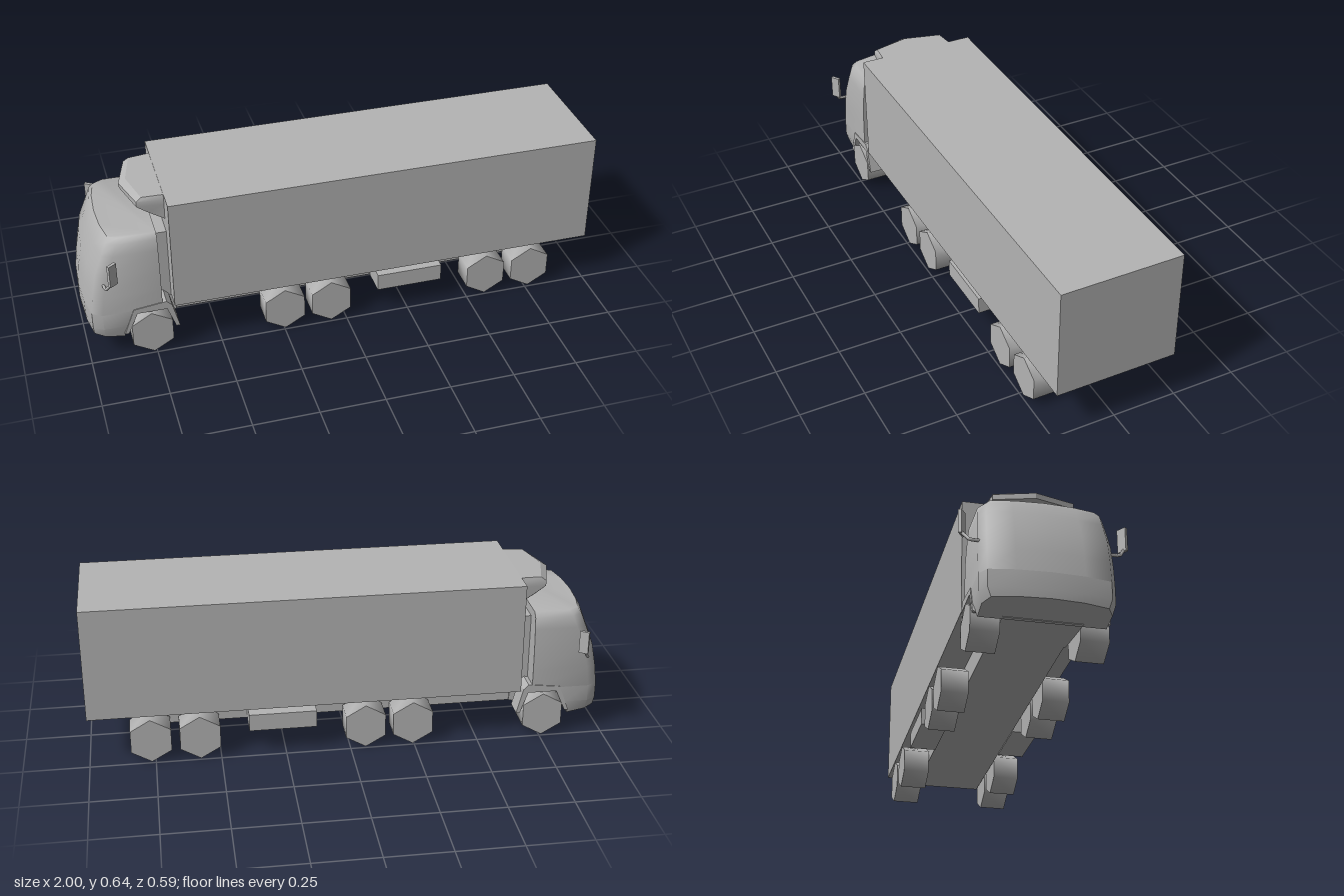
import * as THREE from 'three';
import { toCreasedNormals } from 'three/addons/utils/BufferGeometryUtils.js';

const grey = new THREE.MeshStandardMaterial({ color: 0xb4b4b4 });
grey.name = 'plain grey';

function add(parent, name, geometry) {
  const mesh = new THREE.Mesh(geometry, grey);
  mesh.name = name;
  parent.add(mesh);
  return mesh;
}

// Box given by its limits on each axis
function block(parent, name, x0, x1, y0, y1, z0, z1) {
  const mesh = add(parent, name, new THREE.BoxGeometry(x1 - x0, y1 - y0, z1 - z0));
  mesh.position.set((x0 + x1) / 2, (y0 + y1) / 2, (z0 + z1) / 2);
  return mesh;
}

// Side profile (x, y) extruded from z0 to z1
function prism(parent, name, points, z0, z1) {
  const shape = new THREE.Shape(points.map(([x, y]) => new THREE.Vector2(x, y)));
  const geometry = new THREE.ExtrudeGeometry(shape, { depth: z1 - z0, bevelEnabled: false });
  geometry.translate(0, 0, z0);
  return add(parent, name, geometry);
}

// Skin over stacked rings of [x, y, z], each counter-clockwise from above
function loft(rings, crease) {
  const n = rings[0].length;
  const index = [];
  for (let r = 0; r < rings.length - 1; r++) {
    for (let i = 0; i < n; i++) {
      const a = r * n + i, b = r * n + (i + 1) % n;
      index.push(a, b, b + n, a, b + n, a + n);
    }
  }
  const top = (rings.length - 1) * n;
  for (let i = 1; i < n - 1; i++) {
    index.push(top, top + i, top + i + 1, 0, i + 1, i);
  }
  const geometry = new THREE.BufferGeometry();
  geometry.setAttribute('position', new THREE.Float32BufferAttribute(rings.flat(2), 3));
  geometry.setIndex(index);
  return toCreasedNormals(geometry, crease);
}

// Cab section: straight back, bowed nose with rounded corners
function cabRing({ y, front, back, w, slope = 0 }) {
  const half = [[0.06, w], [0.022, w * 0.9], [0.006, w * 0.5]];
  const outline = [
    [back, w], [back, -w],
    ...half.map(([dx, z]) => [front + dx, -z]),
    [front, 0],
    ...half.slice().reverse().map(([dx, z]) => [front + dx, z]),
  ];
  return outline.map(([x, z]) => [x, y + slope * (x + 1), z]);
}

export function createModel() {
  const truck = new THREE.Group();
  truck.name = 'truck';

  // Cargo box and chassis
  block(truck, 'cargoBox', -0.67, 1, 0.193, 0.638, -0.237, 0.237);
  block(truck, 'chassis', -0.66, 0.83, 0.105, 0.194, -0.133, 0.133);
  prism(truck, 'cabUnderbody',
    [[-0.88, 0.08], [-0.65, 0.105], [-0.65, 0.195], [-0.88, 0.2]], -0.139, 0.139);

  // Cab body, with the roof edge rounded over
  add(truck, 'cab', loft([
    { y: 0.2, front: -1, back: -0.715, w: 0.235 },
    { y: 0.28, front: -0.99, back: -0.715, w: 0.235 },
    { y: 0.37, front: -0.973, back: -0.715, w: 0.233 },
    { y: 0.45, front: -0.942, back: -0.715, w: 0.227 },
    { y: 0.497, front: -0.924, back: -0.715, w: 0.222 },
    { y: 0.516, front: -0.912, back: -0.715, w: 0.205 },
  ].map(cabRing), 0.9));

  // Bumper, cut short ahead of the front wheel
  add(truck, 'bumper', loft([
    { y: 0.104, front: -0.997, back: -0.865, w: 0.222, slope: -0.18 },
    { y: 0.135, front: -1, back: -0.85, w: 0.235 },
    { y: 0.2, front: -1, back: -0.825, w: 0.235 },
  ].map(cabRing), 0.6));

  // Link between cab and cargo box
  block(truck, 'cabRearPanel', -0.716, -0.669, 0.19, 0.48, -0.16, 0.16);

  // Pointed cooling unit above the cab
  const coolerRing = (y, nose, shoulder, w, rise = 0) => [
    [-0.669, y - rise, w], [-0.669, y - rise, -w], [shoulder, y, -w * 0.95],
    [nose, y, 0], [shoulder, y, w * 0.95],
  ];
  add(truck, 'coolingUnit', loft([
    coolerRing(0.565, -0.765, -0.73, 0.15, 0.035),
    coolerRing(0.597, -0.81, -0.77, 0.155),
    coolerRing(0.618, -0.812, -0.77, 0.155),
    coolerRing(0.633, -0.785, -0.75, 0.15, -0.003),
  ], 0.4));

  // Hexagonal wheels, smooth round the tread
  const wheelGeometry = toCreasedNormals(new THREE.CylinderGeometry(0.089, 0.089, 0.102, 6), 1.2);
  wheelGeometry.rotateX(Math.PI / 2);
  wheelGeometry.rotateZ(0);

  for (const side of [1, -1]) {
    const span = (a, b) => (side > 0 ? [a, b] : [-b, -a]);
    const label = side > 0 ? 'left' : 'right';

    [-0.76, -0.245, -0.06, 0.578, 0.765].forEach((x, i) => {
      const wheel = add(truck, `${label}Wheel${i + 1}`, wheelGeometry);
      wheel.position.set(x, 0.089, side * 0.19);
    });

    // Arch over the front wheel
    prism(truck, `${label}Fender`, [
      [-0.865, 0.1], [-0.825, 0.205], [-0.7, 0.22], [-0.68, 0.2], [-0.655, 0.1],
      [-0.67, 0.1], [-0.7, 0.186], [-0.812, 0.186], [-0.85, 0.1],
    ], ...span(0.162, 0.238));

    // Storage locker between the axles
    block(truck, `${label}Locker`, 0.13, 0.39, 0.1, 0.168, ...span(0.132, 0.235));

    // Mirror on a bent arm
    const arm = new THREE.CurvePath();
    const bends = [[-0.925, 0.333, 0.225], [-0.922, 0.336, 0.262], [-0.9, 0.372, 0.283]]
      .map(([x, y, z]) => new THREE.Vector3(x, y, z * side));
    arm.add(new THREE.LineCurve3(bends[0], bends[1]));
    arm.add(new THREE.LineCurve3(bends[1], bends[2]));
    add(truck, `${label}MirrorArm`, new THREE.TubeGeometry(arm, 6, 0.006, 6, false));
    const mirror = block(truck, `${label}Mirror`, -0.91, -0.88, 0.367, 0.457, ...span(0.276, 0.288));
    mirror.scale.set(1.2, 1, 1);
    mirror.rotation.y = side * 0.6;
  }

  return truck;
}
